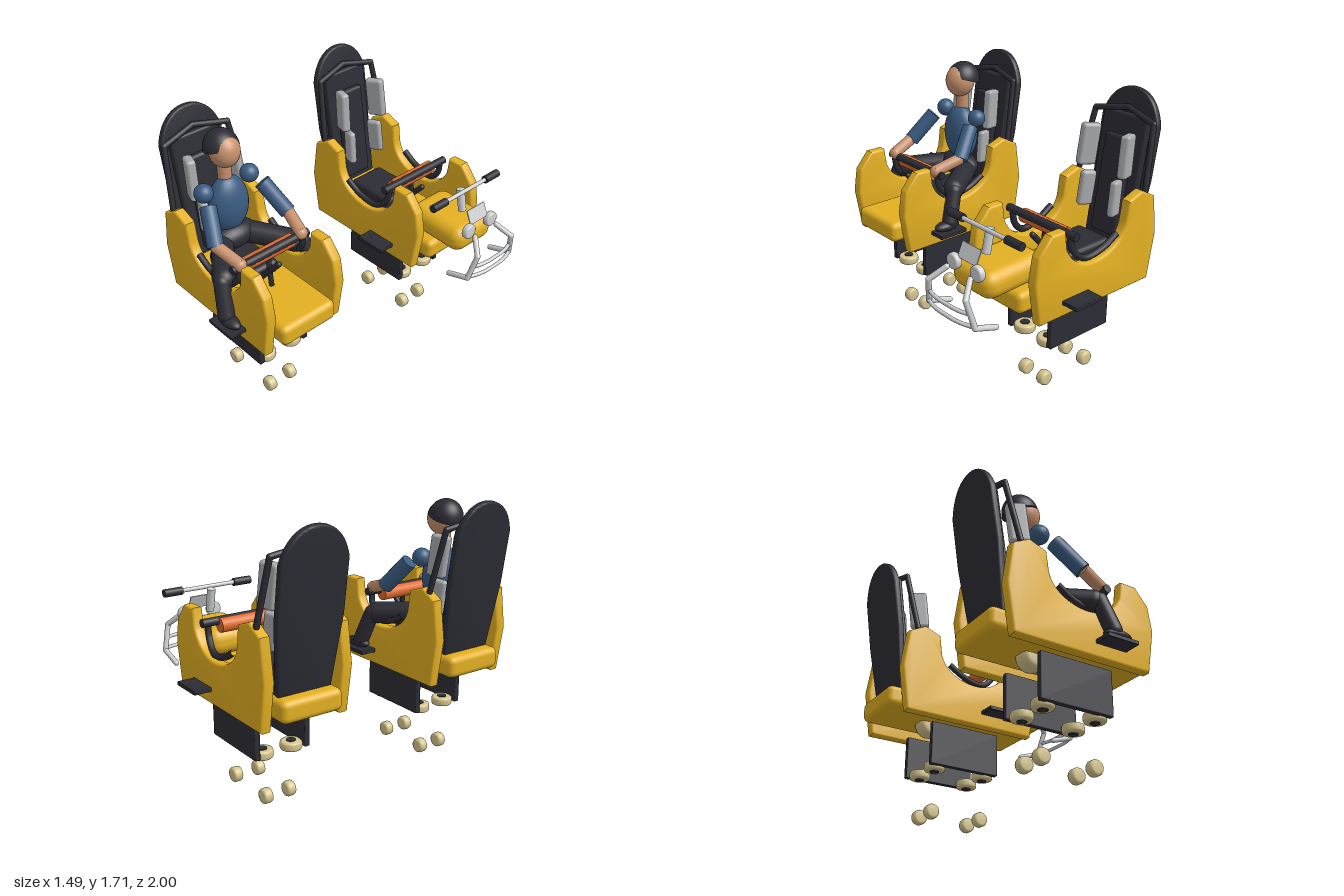
import * as THREE from 'three';
import { RoundedBoxGeometry } from 'three/addons/geometries/RoundedBoxGeometry.js';
import { toCreasedNormals } from 'three/addons/utils/BufferGeometryUtils.js';

const mat = (name, color) => {
  const m = new THREE.MeshStandardMaterial({ color });
  m.name = name;
  return m;
};
const M = {
  yellow: mat('body yellow', 0xe3b022),
  dark: mat('charcoal', 0x2c2c35),
  pad: mat('pad grey', 0xa9abae),
  silver: mat('tube silver', 0xcfd1d3),
  cream: mat('wheel cream', 0xd6c68f),
  orange: mat('bar orange', 0xe06c2c),
  blue: mat('shirt blue', 0x3a5c82),
  skin: mat('skin', 0xc8916d),
};
const V = (p) => new THREE.Vector3(...p);

function add(parent, name, geo, material, pos = [0, 0, 0], rot = [0, 0, 0]) {
  const mesh = new THREE.Mesh(geo, material);
  mesh.name = name;
  mesh.position.set(...pos);
  mesh.rotation.set(...rot);
  parent.add(mesh);
  return mesh;
}
const box = (w, h, d, r = 0.015) => new RoundedBoxGeometry(w, h, d, 3, r);

// Straight rod or limb between two points
function rod(parent, name, a, b, r, material, round = false) {
  const d = V(b).sub(V(a)), len = d.length();
  const geo = round ? new THREE.CapsuleGeometry(r, len, 6, 20) : new THREE.CylinderGeometry(r, r, len, 20);
  const m = add(parent, name, geo, material);
  m.position.copy(V(a).add(V(b)).multiplyScalar(0.5));
  m.quaternion.setFromUnitVectors(new THREE.Vector3(0, 1, 0), d.normalize());
  return m;
}
function ball(parent, name, pos, rx, ry, rz, material) {
  const m = add(parent, name, new THREE.SphereGeometry(1, 28, 20), material, pos);
  m.scale.set(rx, ry, rz);
  return m;
}
// Bent tube made of straight rods with ball joints
function bentTube(parent, name, pts, r, material) {
  const g = new THREE.Group();
  g.name = name;
  pts.forEach((p, i) => {
    ball(g, 'joint', p, r, r, r, material);
    if (i) rod(g, 'tube', pts[i - 1], p, r, material);
  });
  parent.add(g);
}
const sweep = (pts, r) => new THREE.TubeGeometry(new THREE.CatmullRomCurve3(pts.map(V)), 24, r, 10);

// Wheel with rounded shoulders, axis along y
function wheelGeo(r, w) {
  const h = w / 2, b = w * 0.25;
  return new THREE.LatheGeometry([[0, -h], [r - b, -h], [r - b * 0.3, -h + b * 0.3], [r, -h + b], [r, h - b],
    [r - b * 0.3, h - b * 0.3], [r - b, h], [0, h]].map((p) => new THREE.Vector2(...p)), 28);
}
function extrude(shape, depth, bevel) {
  const geo = new THREE.ExtrudeGeometry(shape, { depth: depth - 2 * bevel, bevelThickness: bevel, bevelSize: bevel,
    bevelOffset: -bevel, bevelSegments: 3, curveSegments: 20 });
  geo.translate(0, 0, -depth / 2 + bevel);
  return toCreasedNormals(geo, 0.6);
}

// Side panel outline with the scooped entry
function panelShape() {
  const s = new THREE.Shape();
  s.moveTo(-0.6, 0.6);
  s.lineTo(0.3, 0.6);
  s.lineTo(0.345, 0.87);
  s.lineTo(0.32, 1.025);
  s.lineTo(0.23, 1.13);
  s.lineTo(0.125, 1.13);
  s.lineTo(0.11, 1.02);
  s.bezierCurveTo(0.07, 0.92, -0.02, 0.87, -0.12, 0.87);
  s.bezierCurveTo(-0.25, 0.87, -0.36, 0.94, -0.375, 1.045);
  s.lineTo(-0.39, 1.16);
  s.lineTo(-0.5, 1.2);
  s.lineTo(-0.61, 1.14);
  s.lineTo(-0.645, 0.893);
  return s;
}
// Tall back shell with an arched top
function shellShape() {
  const s = new THREE.Shape();
  s.moveTo(-0.17, 0);
  s.lineTo(0.17, 0);
  s.lineTo(0.215, 0.45);
  s.lineTo(0.215, 0.78);
  s.bezierCurveTo(0.18, 0.91, 0.1, 0.975, 0, 0.975);
  s.bezierCurveTo(-0.1, 0.975, -0.18, 0.91, -0.215, 0.78);
  s.lineTo(-0.215, 0.45);
  return s;
}

function buildCar() {
  const car = new THREE.Group();
  add(car, 'base', box(1.065, 0.135, 0.4, 0.04), M.yellow, [-0.157, 0.718, 0]);
  add(car, 'seatCushion', box(0.36, 0.09, 0.27, 0.03), M.dark, [-0.25, 0.825, 0]);

  // Reclined backrest
  const back = new THREE.Group();
  back.name = 'backrest';
  back.position.set(-0.6, 0.75, 0);
  back.rotation.z = 0.147;
  add(back, 'shell', extrude(shellShape(), 0.045, 0.012), M.dark, [0.022, 0, 0], [0, Math.PI / 2, 0]);
  add(back, 'backPad', box(0.05, 0.8, 0.34), M.dark, [0.06, 0.42, 0]);
  add(back, 'frontPad', box(0.05, 0.62, 0.2, 0.02), M.dark, [0.1, 0.38, 0]);
  car.add(back);

  // Frame behind the shoulders
  bentTube(car, 'shoulderFrame', [[-0.545, 1.18, -0.265], [-0.625, 1.56, -0.225], [-0.66, 1.605, 0],
    [-0.625, 1.56, 0.225], [-0.545, 1.18, 0.265]], 0.018, M.dark);

  // Lap bar and its stalk
  rod(car, 'lapBarRoll', [0.005, 1.037, -0.177], [0.005, 1.037, 0.177], 0.043, M.orange);
  rod(car, 'lapBarRod', [0.03, 1.06, -0.28], [0.03, 1.06, 0.28], 0.025, M.dark);
  rod(car, 'stalk', [0.1, 1, 0], [-0.08, 0.8, 0], 0.018, M.dark, true);
  rod(car, 'stalkBrace', [0, 1.02, 0], [0.02, 0.8, 0], 0.016, M.dark);

  for (const s of [-1, 1]) {
    add(car, 'sidePanel', extrude(panelShape(), 0.07, 0.015), M.yellow, [0, 0, s * 0.255]);
    add(car, 'footPlate', box(0.21, 0.025, 0.13, 0.004), M.dark, [0.03, 0.693, s * 0.335]);
    add(car, 'lapBarArm', sweep([[-0.31, 0.98, s * 0.268], [-0.2, 0.92, s * 0.265], [-0.06, 0.9, s * 0.255],
      [0.02, 0.97, s * 0.24], [0.04, 1.06, s * 0.235]], 0.02), M.dark);
    add(car, 'shoulderPad', box(0.12, 0.26, 0.06, 0.02), M.pad, [-0.492, 1.375, s * 0.15], [0, -s * 0.35, 0.12]);
    add(car, 'hipPad', box(0.1, 0.22, 0.05, 0.02), M.pad, [-0.455, 1.11, s * 0.115], [0, -s * 0.3, 0.12]);
    add(car, 'sidePlate', box(0.48, 0.28, 0.036, 0.006), M.dark, [-0.13, 0.465, s * 0.17]);
    // Guide and lower wheels
    for (const x of [-0.3, 0.046]) {
      add(car, 'guideWheel', wheelGeo(0.067, 0.055), M.cream, [x, 0.333, s * 0.1]);
      add(car, 'guideHub', new THREE.CylinderGeometry(0.03, 0.03, 0.063, 18), M.dark, [x, 0.333, s * 0.1]);
      add(car, 'lowerWheel', wheelGeo(0.047, 0.06), M.cream, [x, 0.052, s * 0.08], [Math.PI / 2, 0, 0]);
    }
  }
  for (const x of [-0.3, 0.046])
    add(car, 'roadWheel', wheelGeo(0.085, 0.12), M.cream, [x, 0.653, 0], [Math.PI / 2, 0, 0]);
  return car;
}

// Nose, handlebar, lamps and tubular guard of the leading car
function buildFrontEnd() {
  const g = new THREE.Group();
  g.name = 'frontEnd';
  add(g, 'nose', box(0.45, 0.17, 0.34, 0.075), M.yellow, [0.352, 0.872, 0], [0, 0, -0.04]);
  rod(g, 'handlebar', [0.46, 1.147, -0.2], [0.46, 1.147, 0.2], 0.013, M.silver);
  rod(g, 'stem', [0.418, 1.14, 0], [0.448, 0.995, 0], 0.026, M.silver);
  add(g, 'numberPlate', box(0.008, 0.095, 0.16, 0.003), M.silver, [0.565, 1.03, 0], [0, 0, 0.42]);
  for (const s of [-1, 1]) {
    rod(g, 'grip', [0.46, 1.147, s * 0.18], [0.46, 1.147, s * 0.3], 0.025, M.dark);
    add(g, 'lamp', wheelGeo(0.048, 0.042), M.silver, [0.592, 0.958, s * 0.1], [0, 0, Math.PI / 2]);
    bentTube(g, 'guardTube', [[0.645, 0.94, s * 0.1], [0.725, 0.865, s * 0.16], [0.695, 0.705, s * 0.2],
      [0.548, 0.658, s * 0.2]], 0.017, M.silver);
  }
  for (const y of [0.785, 0.715])
    add(g, 'guardCrossbar', sweep([[0.705, y, -0.19], [0.73, y, -0.1], [0.735, y, 0], [0.73, y, 0.1],
      [0.705, y, 0.19]], 0.012), M.silver);
  return g;
}

function buildRider() {
  const g = new THREE.Group();
  g.name = 'rider';
  ball(g, 'head', [-0.352, 1.568, 0], 0.1, 0.106, 0.092, M.skin);
  // Hair cap, closed underneath and tipped back
  const hair = new THREE.Group();
  hair.name = 'hair';
  hair.position.set(-0.377, 1.573, 0);
  hair.rotation.z = 0.3;
  const cap = add(hair, 'cap', new THREE.SphereGeometry(1, 28, 14, 0, Math.PI * 2, 0, Math.PI / 2), M.dark);
  cap.scale.set(0.112, 0.118, 0.107);
  const under = add(hair, 'capUnderside', new THREE.CircleGeometry(1, 28), M.dark, [0, 0, 0], [Math.PI / 2, 0, 0]);
  under.scale.set(0.112, 0.107, 1);
  g.add(hair);

  rod(g, 'neck', [-0.368, 1.37, 0], [-0.368, 1.48, 0], 0.043, M.skin);
  ball(g, 'torso', [-0.355, 1.205, 0], 0.097, 0.19, 0.132, M.blue);
  ball(g, 'hips', [-0.34, 0.985, 0], 0.1, 0.085, 0.16, M.dark);
  for (const s of [-1, 1]) {
    ball(g, 'shoulder', [-0.355, 1.343, s * 0.165], 0.058, 0.058, 0.058, M.blue);
    rod(g, 'upperArm', [-0.275, 1.305, s * 0.195], [-0.13, 1.13, s * 0.265], 0.05, M.blue);
    rod(g, 'forearm', [-0.135, 1.14, s * 0.265], [0.04, 1.083, s * 0.225], 0.038, M.skin);
    ball(g, 'hand', [0.04, 1.08, s * 0.225], 0.037, 0.04, 0.04, M.skin);
    rod(g, 'thigh', [-0.31, 0.97, s * 0.1], [-0.07, 0.945, s * 0.27], 0.07, M.dark, true);
    rod(g, 'shin', [-0.05, 0.945, s * 0.3], [0.015, 0.76, s * 0.335], 0.05, M.dark, true);
    ball(g, 'foot', [0.04, 0.735, s * 0.335], 0.095, 0.033, 0.045, M.dark);
  }
  return g;
}

export function createModel() {
  const model = new THREE.Group();
  model.name = 'rideCars';
  const lead = buildCar();
  lead.name = 'leadCar';
  lead.position.z = -0.6;
  lead.add(buildFrontEnd());
  const second = buildCar();
  second.name = 'riddenCar';
  second.position.z = 0.6;
  second.add(buildRider());
  model.add(lead, second);
  return model;
}
